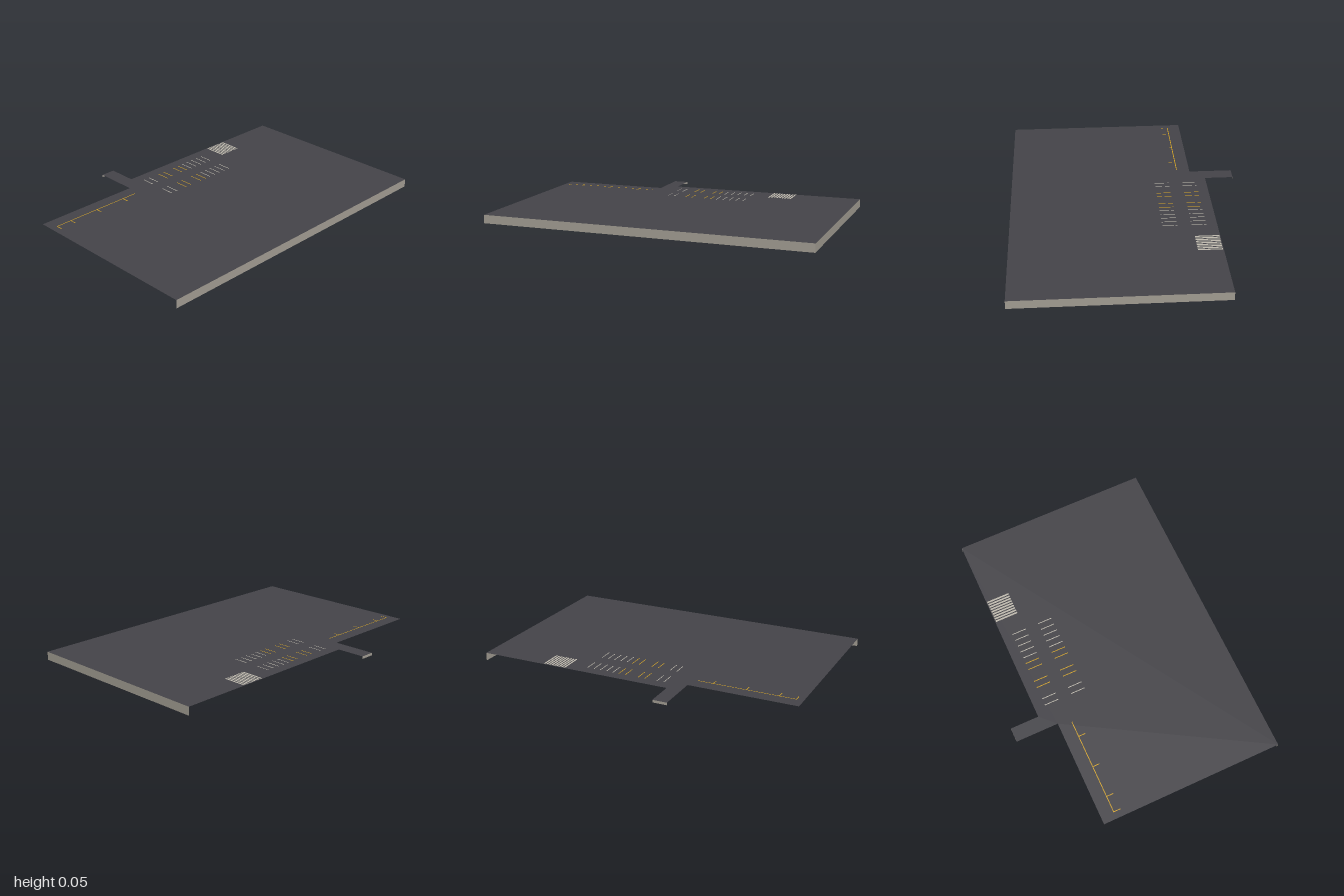
import * as THREE from 'three';

const H = 0.051; // deck height

function material(name, color, side = THREE.FrontSide) {
  const m = new THREE.MeshStandardMaterial({ color, side });
  m.name = name;
  return m;
}

export function createModel() {
  const model = new THREE.Group();
  model.name = 'parkingLot';
  const asphalt = material('asphalt', 0x444348, THREE.DoubleSide);
  const concrete = material('concrete', 0xa09b91, THREE.DoubleSide);
  const yellow = material('yellowPaint', 0xd0a022);
  const white = material('palePaint', 0xbdb8ac);

  const add = (parent, name, geometry, mat) => {
    const mesh = new THREE.Mesh(geometry, mat);
    mesh.name = name;
    parent.add(mesh);
    return mesh;
  };
  const group = (name) => {
    const g = new THREE.Group();
    g.name = name;
    model.add(g);
    return g;
  };

  // Asphalt deck with a driveway tab at the back (outline as x, z)
  const outline = [
    [-1, 0.71], [1, 0.71], [1, -0.53], [-0.24, -0.53],
    [-0.24, -0.71], [-0.33, -0.71], [-0.33, -0.44], [-1, -0.44],
  ];
  const shape = new THREE.Shape(outline.map(([x, z]) => new THREE.Vector2(x, -z)));
  add(model, 'deck', new THREE.ShapeGeometry(shape).rotateX(-Math.PI / 2), asphalt).position.y = H;

  // Retaining walls on the front and left, and the driveway lip
  add(model, 'frontWall', new THREE.PlaneGeometry(2, H), concrete).position.set(0, H / 2, 0.71);
  add(model, 'leftWall', new THREE.PlaneGeometry(1.24, H).rotateY(Math.PI / 2), concrete)
    .position.set(1, H / 2, 0.09);
  add(model, 'drivewayLip', new THREE.PlaneGeometry(0.09, 0.016).rotateY(Math.PI), concrete)
    .position.set(-0.285, H - 0.008, -0.71);

  // A flat painted stripe between two corners
  const stripe = (parent, name, x0, x1, z0, z1, mat) =>
    add(parent, name, new THREE.PlaneGeometry(x1 - x0, z1 - z0).rotateX(-Math.PI / 2), mat)
      .position.set((x0 + x1) / 2, H + 0.0012, (z0 + z1) / 2);
  const w = 0.0025; // half width of a line

  // Parallel parking bays
  const parallel = group('parallelBays');
  stripe(parallel, 'bayLine', -0.96, -0.355, -0.358 - w, -0.358 + w, yellow);
  for (const x of [-0.957, -0.857, -0.66, -0.455])
    stripe(parallel, 'bayTick', x - w, x + w, -0.358 + w, -0.315, yellow);

  // Two rows of stall lines
  const stalls = group('stallLines');
  const yellowX = [-0.067, -0.024, 0.061, 0.104];
  const paleX = [-0.19, -0.147, 0.144, 0.187, 0.229, 0.272, 0.315];
  for (const [z0, z1] of [[-0.465, -0.375], [-0.29, -0.2]]) {
    for (const x of yellowX) stripe(stalls, 'stallLine', x - w, x + w, z0, z1, yellow);
    for (const x of paleX) stripe(stalls, 'stallLine', x - w, x + w, z0, z1, white);
  }

  // Crosswalk
  const crosswalk = group('crosswalk');
  for (let i = 0; i < 9; i++) {
    const x = 0.435 + i * 0.0174;
    stripe(crosswalk, 'crosswalkBar', x, x + 0.011, -0.525, -0.38, white);
  }
  return model;
}
